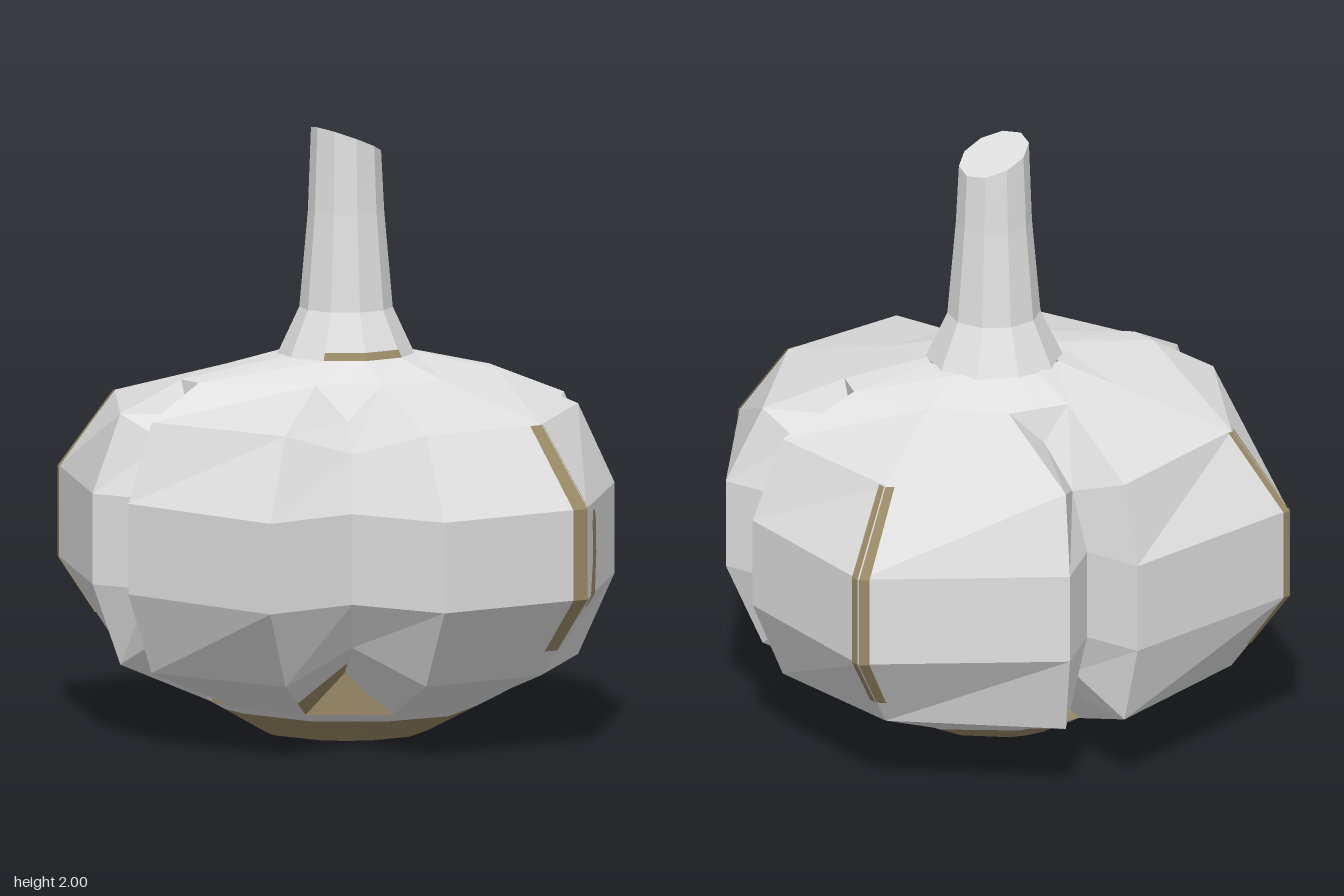
import * as THREE from 'three';

const CX = -0.02, CZ = -0.03; // stem axis
const VALLEYS = [3, 7, 11, 14]; // creases between the four cloves
const isValley = i => VALLEYS.includes(i);

// Plan outlines [x, z], counter-clockwise from the front clove
const outer = [[-0.31, 0.94], [0.26, 0.94], [0.69, 0.49], [0.64, 0.29],
  [0.84, 0.17], [0.9, -0.45], [0.35, -0.87], [0.17, -0.74],
  [0.12, -0.94], [-0.57, -0.88], [-0.86, -0.28], [-0.78, -0.07],
  [-0.9, -0.02], [-0.79, 0.63], [-0.44, 0.6]];
const shoulder = [[-0.25, 0.75], [0.21, 0.75], [0.6, 0.41], [0.57, 0.26],
  [0.72, 0.16], [0.72, -0.37], [0.31, -0.8], [0.15, -0.64],
  [0.11, -0.86], [-0.46, -0.72], [-0.77, -0.25], [-0.7, -0.09],
  [-0.8, -0.03], [-0.63, 0.49], [-0.37, 0.5]];
const crown = [[-0.13, 0.33], [0.1, 0.35], [0.4, 0.23], [0.42, 0.17],
  [0.45, 0.12], [0.36, -0.15], [0.18, -0.35], [0.08, -0.41],
  [-0.02, -0.41], [-0.25, -0.38], [-0.59, -0.16], [-0.6, -0.1],
  [-0.59, -0.06], [-0.31, 0.21], [-0.27, 0.33]];
const foot = [[-0.15, 0.42], [0.11, 0.44], [0.36, 0.27], [0.42, 0.17],
  [0.48, 0.13], [0.42, -0.25], [0.2, -0.44], [0.08, -0.41],
  [0, -0.49], [-0.3, -0.42], [-0.45, -0.19], [-0.44, -0.1],
  [-0.46, -0.05], [-0.38, 0.25], [-0.28, 0.33]];
const N = outer.length;

const ring = (plan, y, valleyY = y) =>
  plan.map(([x, z], i) => new THREE.Vector3(x, isValley(i) ? valleyY : y, z));
// Closes the creases: each valley point moves between its neighbours
const closed = row => row.map((p, i) => isValley(i)
  ? row[i - 1].clone().add(row[(i + 1) % N]).multiplyScalar(0.5) : p.clone());
const circle = (row, r, y) => row.map(p => {
  const a = Math.atan2(p.x - CX, p.z - CZ);
  return new THREE.Vector3(CX + r * Math.sin(a), y, CZ + r * Math.cos(a));
});
const blend = (a, b, t) => a.map((p, i) => p.clone().lerp(b[i], t));

function quad(out, a, b, c, d) {
  for (const t of [[a, b, c], [a, c, d]]) {
    if (new THREE.Triangle(...t).getArea() > 1e-6) t.forEach(p => out.push(p.x, p.y, p.z));
  }
}
// Faces between two rows, lower row first
function band(out, low, high, keep = () => true) {
  for (let i = 0; i < low.length; i++) {
    const j = (i + 1) % low.length;
    if (keep(i)) quad(out, low[i], low[j], high[j], high[i]);
  }
}
function cap(out, row, up) {
  const c = row.reduce((s, p) => s.add(p), new THREE.Vector3()).divideScalar(row.length);
  row.forEach((p, i) => {
    const q = row[(i + 1) % row.length];
    (up ? [c, p, q] : [c, q, p]).forEach(v => out.push(v.x, v.y, v.z));
  });
}
function mesh(name, out, material) {
  const g = new THREE.BufferGeometry();
  g.setAttribute('position', new THREE.Float32BufferAttribute(out, 3));
  g.computeVertexNormals();
  const m = new THREE.Mesh(g, material);
  m.name = name;
  return m;
}

export function createModel() {
  const skin = new THREE.MeshStandardMaterial({ color: 0xe0e0e0, flatShading: true });
  skin.name = 'pale skin';
  const brown = new THREE.MeshStandardMaterial({ color: 0x9a8a66, flatShading: true, side: THREE.DoubleSide });
  brown.name = 'dry brown';
  const group = new THREE.Group();
  group.name = 'bulb';

  // Bulb rows from foot to neck
  const footRow = ring(foot, 0.11, 0.25), footClosed = closed(footRow);
  const crownRow = ring(crown, 1.19, 1.08), crownClosed = closed(crownRow);
  const sides = [ring(shoulder, 0.25, 0.36), ring(outer, 0.52), ring(outer, 0.82), ring(shoulder, 1.08, 1)];
  const baseRow = circle(footClosed, 0.27, 0);
  const rootEdge = blend(baseRow, footClosed, 0.75);
  const creaseEdge = blend(footRow, sides[0], 0.4);
  const stained = i => [2, 6, 13].includes(i);

  const cloves = [];
  band(cloves, rootEdge, footClosed);
  band(cloves, footRow, sides[0], i => !stained(i));
  band(cloves, creaseEdge, sides[0], stained);
  for (let r = 0; r < 3; r++) band(cloves, sides[r], sides[r + 1]);
  band(cloves, sides[3], crownRow);
  band(cloves, crownRow, crownClosed);
  band(cloves, crownClosed, circle(crownClosed, 0.22, 1.25));
  group.add(mesh('cloves', cloves, skin));

  // Brown root base, with stains running into the creases
  const root = [];
  cap(root, baseRow, false);
  band(root, baseRow, rootEdge);
  band(root, footClosed, footRow);
  band(root, footRow, creaseEdge, stained);
  group.add(mesh('rootBase', root, brown));

  // Ten-sided stem with a slanted cut
  const stemRow = (r, y, slope = 0) => Array.from({ length: 10 }, (_, i) => {
    const a = (i + 0.5) * Math.PI / 5, x = r * Math.sin(a);
    return new THREE.Vector3(CX + x, y - slope * x, CZ + r * Math.cos(a));
  });
  const stemRows = [stemRow(0.225, 1.245), stemRow(0.153, 1.4), stemRow(0.125, 1.72), stemRow(0.115, 1.955, 0.41)];
  const stem = [];
  for (let r = 0; r < 3; r++) band(stem, stemRows[r], stemRows[r + 1]);
  cap(stem, stemRows[3], true);
  group.add(mesh('stem', stem, skin));

  // Brown mark at the foot of the stem
  const collar = [];
  band(collar, stemRow(0.228, 1.25), stemRow(0.215, 1.275), i => i === 8 || i === 9);
  group.add(mesh('stemMark', collar, brown));

  // Point on side face i at height y and fraction u, lifted off the skin
  function at(i, u, y) {
    const j = (i + 1) % N;
    let r = 0;
    while (r < 2 && y > sides[r + 1][i].y) r++;
    const t = (y - sides[r][i].y) / (sides[r + 1][i].y - sides[r][i].y);
    const a = sides[r][i].clone().lerp(sides[r + 1][i], t);
    const b = sides[r][j].clone().lerp(sides[r + 1][j], t);
    const n = new THREE.Vector3(a.z - b.z, 0, b.x - a.x).normalize().negate();
    if (n.x * a.x + n.z * a.z < 0) n.negate();
    return a.lerp(b, u).addScaledVector(n, 0.006);
  }
  // Thin painted strip; stops are [height, from, to]
  function strip(out, i, stops) {
    for (let k = 0; k + 1 < stops.length; k++) {
      const [y0, a0, b0] = stops[k], [y1, a1, b1] = stops[k + 1];
      quad(out, at(i, a0, y0), at(i, b0, y0), at(i, b1, y1), at(i, a1, y1));
    }
  }
  // Stripes down the middle ridge of three cloves: share on each side of it
  for (const [ridge, before, after] of [[1, 0.1, 0.01], [5, 0.05, 0.05], [9, 0.04, 0.05]]) {
    const marks = [];
    strip(marks, ridge - 1, [0.34, 0.52, 0.82, 1.08].map(y => [y, 1 - before, 1]));
    strip(marks, ridge, [0.34, 0.52, 0.82, 1.08].map(y => [y, 0, after]));
    group.add(mesh('ridgeStripe', marks, brown));
  }
  // Curved spot beside the front stripe
  const spot = [];
  strip(spot, 1, [[0.48, 0.1, 0.18], [0.52, 0.09, 0.23], [0.65, 0.17, 0.28], [0.76, 0.15, 0.27], [0.8, 0.17, 0.23]]);
  group.add(mesh('spot', spot, brown));

  return group;
}
